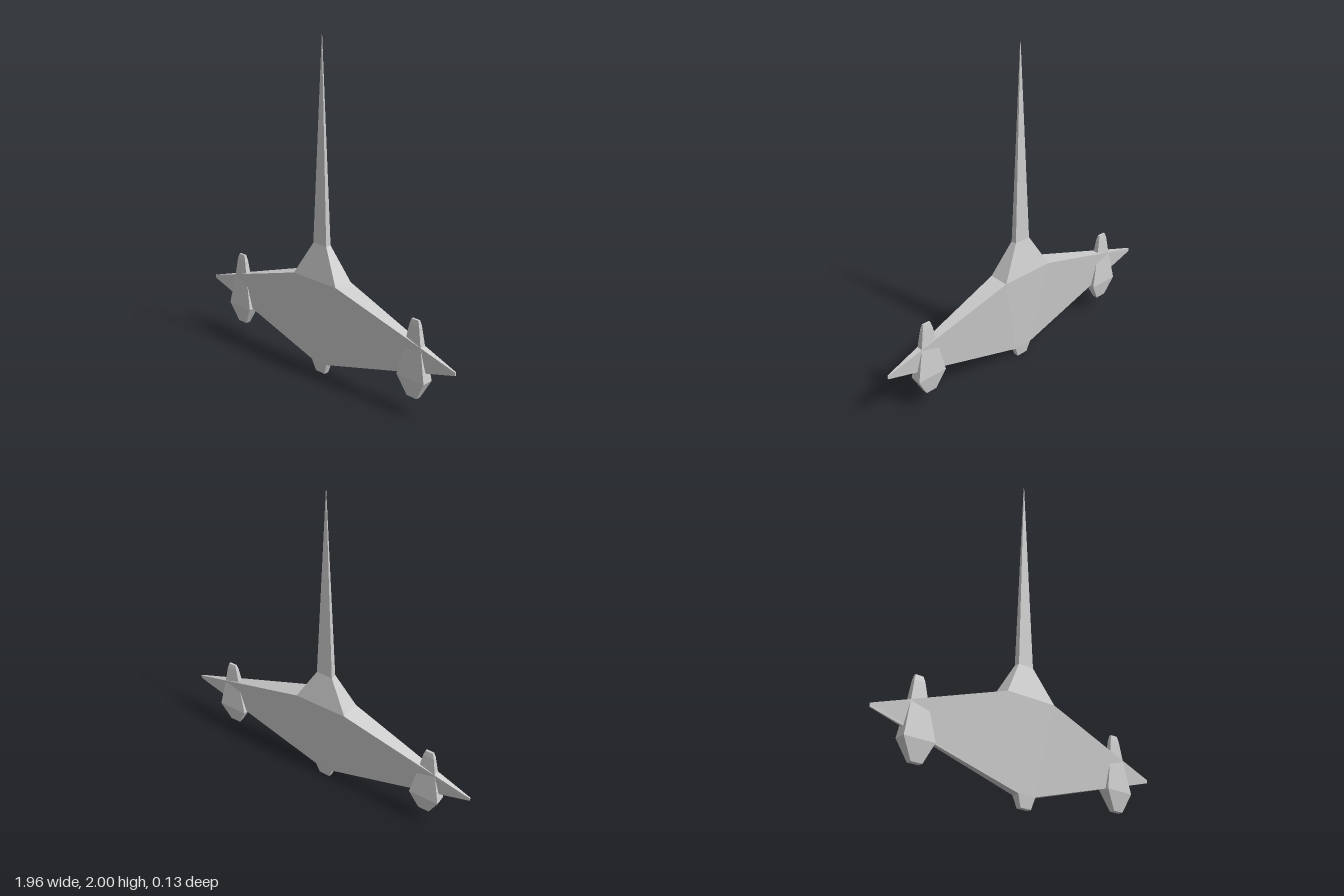
import * as THREE from 'three';

const material = new THREE.MeshStandardMaterial({ color: 0xcccccc, flatShading: true });

// Skin a series of four-cornered rings and cap both ends
function loft(name, rings) {
  const pos = [];
  const quad = (a, b, c, d) => pos.push(...a, ...b, ...c, ...a, ...c, ...d);
  for (let r = 0; r < rings.length - 1; r++) {
    for (let i = 0; i < 4; i++) {
      const j = (i + 1) % 4;
      quad(rings[r][i], rings[r][j], rings[r + 1][j], rings[r + 1][i]);
    }
  }
  quad(...[...rings[0]].reverse());
  quad(...rings[rings.length - 1]);
  const geo = new THREE.BufferGeometry();
  geo.setAttribute('position', new THREE.Float32BufferAttribute(pos, 3));
  geo.computeVertexNormals();
  const mesh = new THREE.Mesh(geo, material);
  mesh.name = name;
  return mesh;
}

// Horizontal rectangle: height, half width, half depth
const level = ([y, w, d]) => [[-w, y, d], [w, y, d], [w, y, -d], [-w, y, -d]];

// Upright wing section: lower and upper corners as [x, y, half depth]
const rib = ([x0, y0, d0], [x1, y1, d1]) =>
  [[x0, y0, d0], [x0, y0, -d0], [x1, y1, -d1], [x1, y1, d1]];

export function createModel() {
  const group = new THREE.Group();
  group.name = 'spacecraft';

  // Fuselage with tail stub and long needle nose
  group.add(loft('fuselage', [
    [0, 0.037, 0.015],
    [0.07, 0.06, 0.024],
    [0.605, 0.17, 0.063],
    [0.81, 0.052, 0.018],
    [2, 0.001, 0.001],
  ].map(level)));

  for (const side of ['left', 'right']) {
    const half = new THREE.Group();
    half.name = side + 'Side';

    // Tapered wing
    half.add(loft(side + 'Wing', [
      rib([0.06, 0.07, 0.024], [0.17, 0.605, 0.063]),
      rib([0.98, 0.328, 0.003], [0.98, 0.348, 0.004]),
    ]));

    // Engine pod through the wing
    const pod = loft(side + 'Pod', [
      [0.105, 0.035, 0.016],
      [0.22, 0.095, 0.035],
      [0.42, 0.053, 0.019],
      [0.53, 0.034, 0.012],
      [0.563, 0.024, 0.007],
    ].map(level));
    pod.position.x = 0.705;
    half.add(pod);

    // The design is symmetric front to back, so a half turn mirrors it
    if (side === 'right') half.rotation.y = Math.PI;
    group.add(half);
  }
  return group;
}
